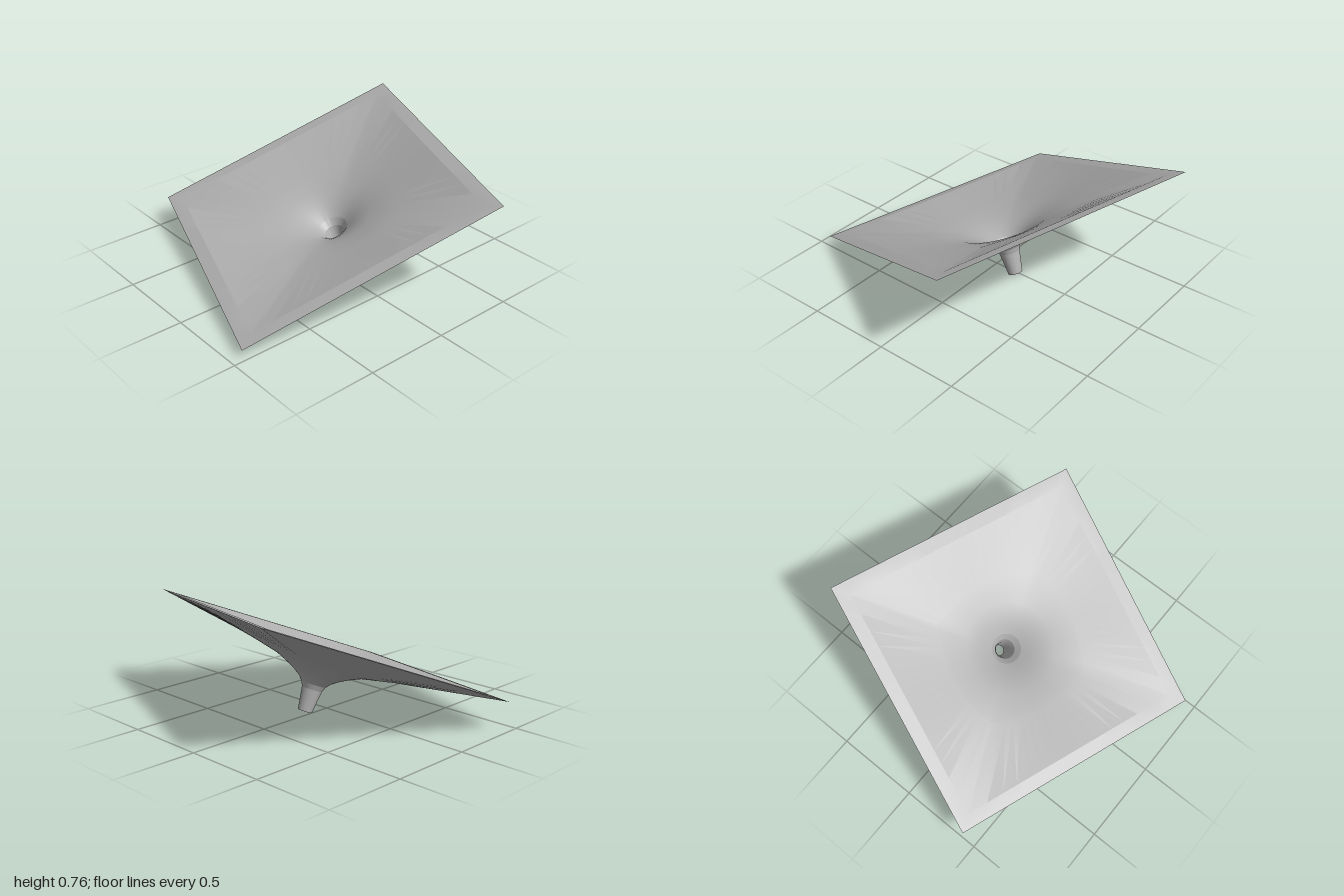
import * as THREE from 'three';
import { toCreasedNormals } from 'three/addons/utils/BufferGeometryUtils.js';

const SEGMENTS = 64;

// Rings of the closed shell: [radius, height, squareness], from the spout up the outside, over the lip and down the inside
const RINGS = [
  [0.043, -0.42, 0],
  [0.052, -0.35, 0],
  [0.061, -0.285, 0],
  [0.074, -0.255, 0],
  [0.098, -0.228, 0],
  [0.135, -0.202, 0],
  [0.185, -0.174, 0],
  [0.26, -0.14, 0.04],
  [0.40, -0.101, 0.36],
  [0.785, 0, 1],
  [0.705, 0.001, 1],
  [0.40, -0.083, 0.38],
  [0.265, -0.122, 0.04],
  [0.19, -0.156, 0],
  [0.135, -0.186, 0],
  [0.09, -0.218, 0],
  [0.06, -0.255, 0],
  [0.046, -0.30, 0],
  [0.033, -0.42, 0],
];

// Skins a loop of rings that blend from circle to square
function ringShell(rings) {
  const positions = [];
  const index = [];
  for (const [radius, y, square] of rings) {
    for (let i = 0; i < SEGMENTS; i++) {
      const a = (i / SEGMENTS) * Math.PI * 2;
      const c = Math.cos(a);
      const s = Math.sin(a);
      const toSquare = 1 / Math.max(Math.abs(c), Math.abs(s));
      const r = radius * (1 + (toSquare - 1) * square);
      positions.push(r * c, y, r * s);
    }
  }
  for (let k = 0; k < rings.length; k++) {
    const next = (k + 1) % rings.length;
    for (let i = 0; i < SEGMENTS; i++) {
      const j = (i + 1) % SEGMENTS;
      const a = k * SEGMENTS + i;
      const b = next * SEGMENTS + i;
      const c = next * SEGMENTS + j;
      const d = k * SEGMENTS + j;
      index.push(a, b, d, b, c, d);
    }
  }
  const geometry = new THREE.BufferGeometry();
  geometry.setAttribute('position', new THREE.Float32BufferAttribute(positions, 3));
  geometry.setIndex(index);
  return toCreasedNormals(geometry, 0.25);
}

export function createModel() {
  const grey = new THREE.MeshStandardMaterial({ color: 0xb0b0b0 });
  grey.name = 'plain grey';

  // Square funnel with a round, open spout
  const funnel = new THREE.Mesh(ringShell(RINGS), grey);
  funnel.name = 'squareFunnel';

  // Tilt towards the front and turn about the spout
  const side = new THREE.Vector3(1.475, -0.12, 0.51).normalize();
  const up = new THREE.Vector3(-0.53, -0.58, 1.355).cross(side).normalize();
  const front = new THREE.Vector3().crossVectors(side, up);
  funnel.quaternion.setFromRotationMatrix(new THREE.Matrix4().makeBasis(side, up, front));
  funnel.position.y = 0.41;

  const model = new THREE.Group();
  model.name = 'funnel';
  model.add(funnel);
  return model;
}
